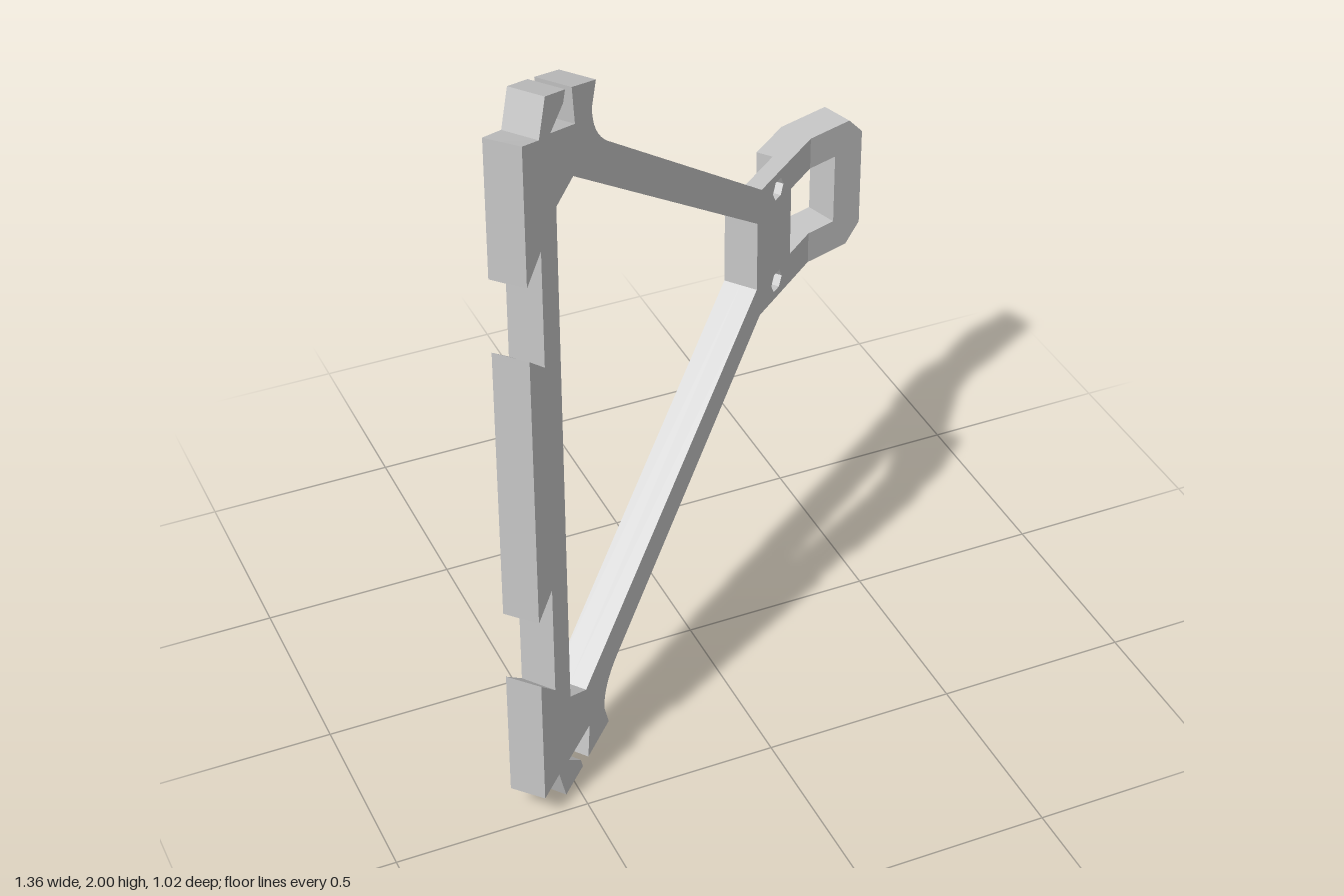
import * as THREE from 'three';
import { toCreasedNormals } from 'three/addons/utils/BufferGeometryUtils.js';

const BEND = 1.42, WINDOW = 1.31, THICK = 0.093, MID = 0.047, TURN = 0.665, HEAD_TURN = 0.30;

// Places flat coordinates (u along the plate, w through it) in the turned, bent frame
function bend(geometry) {
  const p = geometry.attributes.position;
  const half = (TURN - HEAD_TURN) / 2;
  const bx = -0.615 + BEND * Math.cos(TURN), bz = 0.51 - BEND * Math.sin(TURN);
  for (let i = 0; i < p.count; i++) {
    const u = p.getX(i), w = p.getZ(i);
    let s = u - BEND, a = s < 0 ? TURN : HEAD_TURN, k = w;
    if (Math.abs(u) < 1e-5) s += w * 0.08; // slightly raked outer end
    if (Math.abs(u - WINDOW) < 1e-5) s -= w * Math.tan(2 * half); // window wall square to the head
    if (Math.abs(u - BEND) < 1e-5) { // mitred joint
      a = (TURN + HEAD_TURN) / 2;
      k = w / Math.cos(half);
      s = 0;
    }
    p.setXYZ(i, bx + s * Math.cos(a) + k * Math.sin(a), p.getY(i), bz - s * Math.sin(a) + k * Math.cos(a));
  }
  return toCreasedNormals(geometry, 0.5);
}

const vec = (list) => list.map(([x, y]) => new THREE.Vector2(x, y));
const flip = (list) => list.map(([x, y]) => [x, 2 - y]);
// Closes an upper half with its lower mirror, counter-clockwise
const mirrored = (list) => [...flip(list), ...[...list].reverse()];
const ring = (u, y, r, n) => Array.from({ length: n }, (_, i) => {
  const a = (i / n) * Math.PI * 2;
  return [u + r * Math.cos(a), y + r * Math.sin(a)];
});

function slab(name, outline, holes, w0, w1, material) {
  const shape = new THREE.Shape(vec(outline));
  shape.holes = holes.map((h) => new THREE.Path(vec(h)));
  const g = new THREE.ExtrudeGeometry(shape, { depth: w1 - w0, bevelEnabled: false });
  g.translate(0, 0, w0);
  const mesh = new THREE.Mesh(bend(g), material);
  mesh.name = name;
  return mesh;
}

export function createModel() {
  const group = new THREE.Group();
  group.name = 'bracket';
  const grey = new THREE.MeshStandardMaterial({ color: 0xc8c8c8 });
  grey.name = 'grey';

  // Upper half of the outline: notched edge, slotted tab, fillet, arm, neck
  const fillet = new THREE.QuadraticBezierCurve(...vec([[0.298, 1.87], [0.297, 1.80], [0.365, 1.749]]))
    .getPoints(8).map((v) => [v.x, v.y]);
  const edge = [
    [0, 1.375], [0.064, 1.32], [0.064, 1.63], [0, 1.57], [0, 1.93],
    [0.07, 1.908], [0.1, 2.0], [0.185, 1.974], [0.175, 1.945], [0.118, 1.90],
    [0.223, 1.868], [0.213, 1.965], [0.318, 1.93], ...fillet, [1.14, 1.19],
  ];
  const neck = [[BEND, 1.19], [BEND, 1.1], [WINDOW, 1.1]];
  const pocket = [[1.205, 1.143], [1.235, 1.095], [1.295, 1.095], [1.295, 1.19]];

  // Large opening between the arms
  const opening = mirrored([[0.134, 1.705], [0.21, 1.742], [1.12, 1.1]]);

  // Groove along the back of each arm
  const groove = [[0.27, 1.72], [0.295, 1.747], [1.105, 1.176], [1.08, 1.149]];

  const hexes = [ring(1.234, 1.14, 0.03, 6), ring(1.234, 0.86, 0.03, 6)];
  group.add(slab('frontPlate', mirrored([...edge, ...neck]), [opening, ...hexes], -MID, 0, grey));
  group.add(slab('backPlate', mirrored([...edge, ...pocket, ...neck]),
    [opening, groove, flip(groove)], -THICK, -MID, grey));

  // Floors of the hexagonal screw recesses
  hexes.forEach((hex, i) => group.add(slab('screwSeat', hex,
    [ring(1.234, i ? 0.86 : 1.14, 0.016, 16)], -MID, -0.03, grey)));

  // Angled head around the small window
  const head = mirrored([
    [BEND + 0.089, 1.1], [BEND, 1.1], [BEND, 1.19], [BEND + 0.137, 1.19], [BEND + 0.184, 1.14],
  ]);
  group.add(slab('angledHead', head, [], -THICK, 0, grey));

  return group;
}
